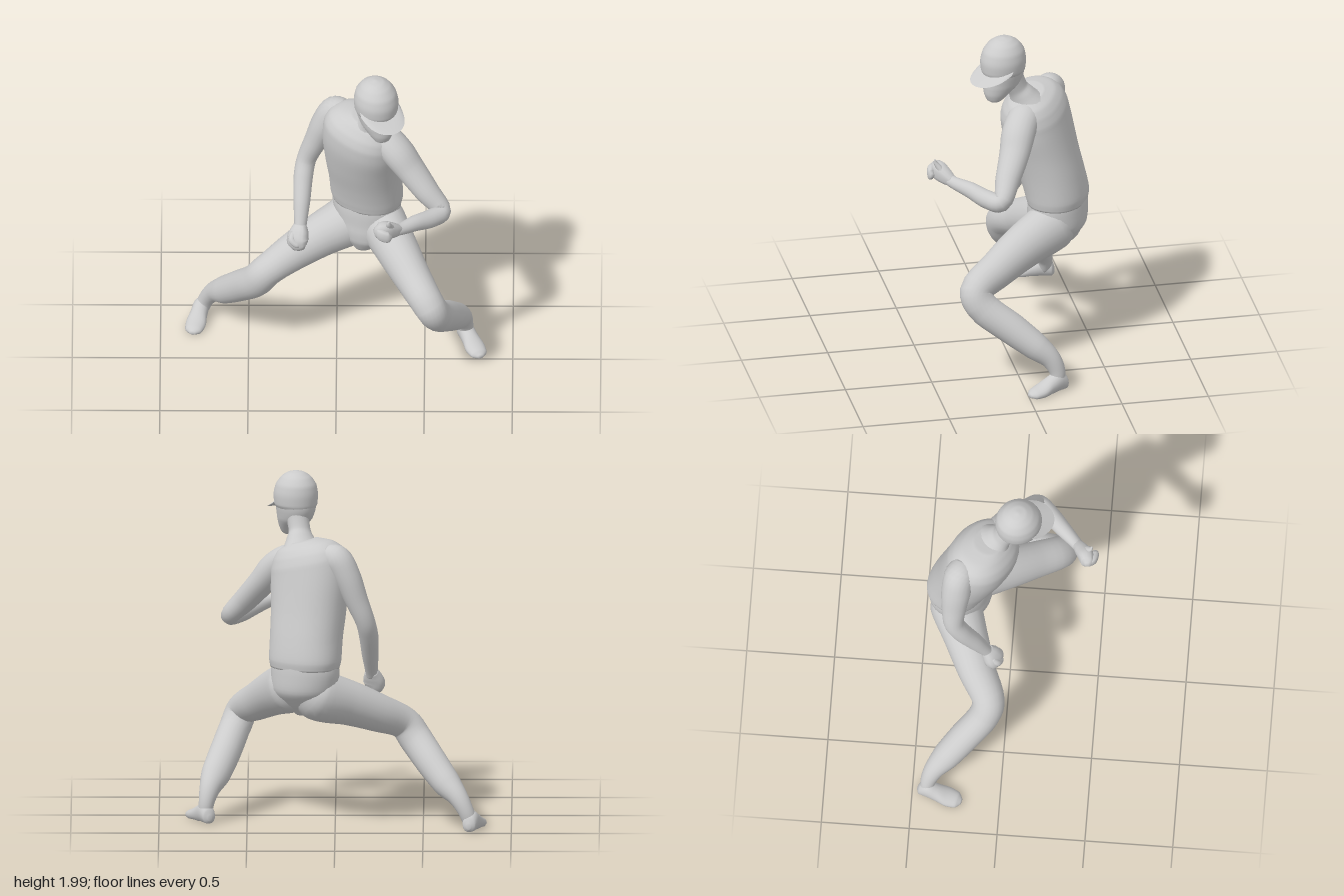
import * as THREE from 'three';

const V = (x, y, z) => new THREE.Vector3(x, y, z);
const material = new THREE.MeshStandardMaterial({ color: 0xcccccc });
const thin = new THREE.MeshStandardMaterial({ color: 0xcccccc, side: THREE.DoubleSide });

// Body directions: the torso is turned to its right, the head to its left
const bodyLeft = V(0.85, 0, 0.53);
const headLeft = V(0.87, 0, -0.5), headFront = V(0.5, 0, 0.87);

// Smooth closed skin over cross-sections [x, y, z, radiusAcross, radiusDeep].
// "across" fixes the ring direction; "axis" forces parallel rings; "adjust" edits points.
function loft(name, sections, across, { axis, adjust, power = 2, sides = 20, steps = 5 } = {}) {
  const path = new THREE.CatmullRomCurve3(sections.map(s => V(s[0], s[1], s[2])));
  const radii = new THREE.CatmullRomCurve3(sections.map(s => V(s[3], s[4], 0)));
  const rings = (sections.length - 1) * steps;
  const pos = [], index = [];
  const bend = c => Math.sign(c) * Math.abs(c) ** (2 / power);
  const add = p => { if (adjust) adjust(p); pos.push(p.x, p.y, p.z); };
  for (let i = 0; i <= rings; i++) {
    const t = i / rings, c = path.getPoint(t), r = radii.getPoint(t);
    const T = axis ? axis.clone() : path.getTangent(t);
    const U = across.clone().addScaledVector(T, -across.dot(T)).normalize();
    const W = T.clone().cross(U);
    for (let j = 0; j < sides; j++) {
      const a = j / sides * Math.PI * 2;
      add(c.clone().addScaledVector(U, bend(Math.cos(a)) * r.x).addScaledVector(W, bend(Math.sin(a)) * r.y));
    }
  }
  add(path.getPoint(0));
  add(path.getPoint(1));
  const start = (rings + 1) * sides, last = rings * sides;
  for (let j = 0; j < sides; j++) {
    const k = (j + 1) % sides;
    for (let i = 0; i < rings; i++) {
      const a = i * sides + j, b = i * sides + k;
      index.push(a, b, b + sides, a, b + sides, a + sides);
    }
    index.push(start, k, j, start + 1, last + j, last + k);
  }
  const g = new THREE.BufferGeometry();
  g.setAttribute('position', new THREE.Float32BufferAttribute(pos, 3));
  g.setIndex(index);
  g.computeVertexNormals();
  const mesh = new THREE.Mesh(g, material);
  mesh.name = name;
  return mesh;
}

// Head sections [y, forward, halfWidth, halfDepth] placed in the turned head frame
const headSections = rows => rows.map(([y, f, w, d]) =>
  [0.225 + headFront.x * f, y, 0.03 + headFront.z * f, w, d]);

// Curved visor with rounded corners, dipping toward the front
function makeBrim() {
  const nu = 20, nv = 5, pos = [], index = [];
  for (let i = 0; i <= nu; i++) for (let j = 0; j <= nv; j++) {
    const a = (i / nu * 2 - 1) * 1.45, t = j / nv, c = Math.cos(a);
    const u = Math.sin(a) * (0.118 + 0.008 * t);
    const f = c * 0.122 * (1 - t) + c ** 0.7 * 0.213 * t;
    const y = 1.845 - 0.41 * f - 0.9 * u * u * t;
    const p = V(0.225, y, 0.03).addScaledVector(headLeft, u).addScaledVector(headFront, f);
    pos.push(p.x, p.y, p.z);
    if (i < nu && j < nv) {
      const k = i * (nv + 1) + j, m = k + nv + 1;
      index.push(k, k + 1, m + 1, k, m + 1, m);
    }
  }
  const g = new THREE.BufferGeometry();
  g.setAttribute('position', new THREE.Float32BufferAttribute(pos, 3));
  g.setIndex(index);
  g.computeVertexNormals();
  const brim = new THREE.Mesh(g, thin);
  brim.name = 'capBrim';
  return brim;
}

// Foot with a flat sole, from heel (x, z) along direction (dx, dz)
function makeFoot(name, x, z, dx, dz) {
  const rows = [[0, 0.035, 0.012, 0.015], [0.015, 0.045, 0.038, 0.045], [0.06, 0.06, 0.046, 0.062],
    [0.12, 0.045, 0.05, 0.052], [0.18, 0.028, 0.058, 0.038], [0.235, 0.02, 0.048, 0.028], [0.262, 0.018, 0.016, 0.01]];
  return loft(name, rows.map(([d, y, w, h]) => [x + dx * d, y, z + dz * d, w, h]), V(dz, 0, -dx),
    { axis: V(dx, 0, dz), adjust: p => { p.y = Math.max(p.y, 0.005); } });
}

export function createModel() {
  const model = new THREE.Group();
  model.name = 'crouchingFigure';
  const up = V(0, 1, 0);

  // Shirt: shoulder line slopes down toward the left arm
  model.add(loft('torso', [
    [0.172, 0.93, -0.297, 0.203, 0.163], [0.17, 0.98, -0.294, 0.212, 0.173], [0.163, 1.1, -0.266, 0.212, 0.178],
    [0.15, 1.25, -0.223, 0.22, 0.184], [0.143, 1.4, -0.184, 0.23, 0.188], [0.147, 1.5, -0.165, 0.225, 0.182],
    [0.157, 1.56, -0.155, 0.205, 0.16], [0.172, 1.605, -0.145, 0.165, 0.125], [0.185, 1.637, -0.125, 0.09, 0.08],
  ], bodyLeft, {
    axis: up, power: 2.2, sides: 32,
    adjust: p => {
      const u = (p.x - 0.16) * bodyLeft.x + (p.z + 0.18) * bodyLeft.z;
      p.y -= 0.25 * u * THREE.MathUtils.smoothstep(p.y, 1.15, 1.55);
    },
  }));

  model.add(loft('pelvis', [
    [0.17, 0.98, -0.3, 0.195, 0.16], [0.17, 0.9, -0.298, 0.204, 0.168], [0.175, 0.8, -0.29, 0.195, 0.168],
    [0.17, 0.72, -0.26, 0.15, 0.135], [0.16, 0.645, -0.235, 0.06, 0.07],
  ], bodyLeft, { axis: V(0, -1, 0), sides: 28 }));

  // Neck, head and cap
  model.add(loft('neck', [
    [0.19, 1.56, -0.115, 0.125, 0.1], [0.198, 1.62, -0.085, 0.085, 0.072],
    [0.203, 1.67, -0.056, 0.063, 0.06], [0.213, 1.73, -0.03, 0.063, 0.064], [0.222, 1.79, -0.01, 0.068, 0.068],
  ], headLeft));
  model.add(loft('head', headSections([
    [1.62, 0.07, 0.025, 0.022], [1.632, 0.066, 0.046, 0.042], [1.67, 0.048, 0.07, 0.076], [1.72, 0.014, 0.094, 0.114],
    [1.78, 0, 0.108, 0.127], [1.85, 0, 0.117, 0.128], [1.92, -0.005, 0.1, 0.11], [1.97, -0.005, 0.05, 0.055],
  ]), headLeft, { axis: up, sides: 28 }));
  model.add(loft('cap', headSections([
    [1.79, 0, 0.109, 0.126], [1.81, 0, 0.12, 0.132], [1.86, 0, 0.124, 0.135], [1.92, -0.003, 0.113, 0.123],
    [1.965, -0.005, 0.083, 0.089], [1.99, -0.005, 0.046, 0.049], [1.999, -0.005, 0.008, 0.008],
  ]), headLeft, { axis: up, sides: 28 }));
  model.add(makeBrim());

  // Left arm, bent across the front
  model.add(loft('leftArm', [
    [0.2, 1.535, -0.125, 0.06, 0.075], [0.275, 1.505, -0.08, 0.085, 0.095], [0.345, 1.445, -0.035, 0.088, 0.097],
    [0.418, 1.355, 0.003, 0.077, 0.088], [0.51, 1.243, 0.06, 0.068, 0.073], [0.598, 1.14, 0.118, 0.054, 0.053],
    [0.54, 1.14, 0.185, 0.053, 0.053], [0.45, 1.165, 0.265, 0.046, 0.046],
    [0.37, 1.18, 0.34, 0.034, 0.036], [0.34, 1.19, 0.365, 0.03, 0.034],
  ], V(0.3, 0.9, 0.3)));
  model.add(loft('leftHand', [
    [0.36, 1.182, 0.35, 0.028, 0.028], [0.32, 1.2, 0.38, 0.044, 0.04], [0.275, 1.22, 0.41, 0.054, 0.045],
    [0.235, 1.23, 0.42, 0.044, 0.036], [0.215, 1.235, 0.42, 0.012, 0.012],
  ], up, { power: 2.6, sides: 14 }));
  model.add(loft('leftFingers', [
    [0.24, 1.225, 0.42, 0.028, 0.025], [0.255, 1.22, 0.45, 0.036, 0.024],
    [0.295, 1.21, 0.462, 0.034, 0.02], [0.315, 1.21, 0.455, 0.01, 0.01],
  ], up, { power: 2.6, sides: 12 }));
  model.add(loft('leftThumb', [
    [0.33, 1.21, 0.39, 0.02, 0.02], [0.305, 1.25, 0.415, 0.021, 0.018],
    [0.298, 1.28, 0.435, 0.015, 0.012], [0.302, 1.305, 0.442, 0.004, 0.004],
  ], V(1, 0, 0), { sides: 10 }));

  // Right arm, hanging with the elbow pushed back
  model.add(loft('rightArm', [
    [0.06, 1.57, -0.265, 0.06, 0.06], [-0.01, 1.545, -0.29, 0.085, 0.085], [-0.067, 1.45, -0.302, 0.079, 0.085],
    [-0.12, 1.32, -0.31, 0.066, 0.072], [-0.172, 1.19, -0.308, 0.056, 0.058], [-0.19, 1.1, -0.265, 0.055, 0.056],
    [-0.198, 0.98, -0.19, 0.048, 0.05], [-0.205, 0.87, -0.125, 0.036, 0.036], [-0.207, 0.84, -0.108, 0.034, 0.034],
  ], V(1, 0, 0)));
  model.add(loft('rightHand', [
    [-0.205, 0.865, -0.12, 0.036, 0.032], [-0.213, 0.83, -0.095, 0.055, 0.042], [-0.22, 0.79, -0.075, 0.064, 0.045],
    [-0.207, 0.755, -0.065, 0.05, 0.036], [-0.19, 0.735, -0.065, 0.015, 0.012],
  ], V(0.85, 0.1, 0.4), { power: 2.6, sides: 14 }));
  model.add(loft('rightThumb', [
    [-0.245, 0.835, -0.085, 0.018, 0.018], [-0.255, 0.805, -0.052, 0.02, 0.018],
    [-0.225, 0.78, -0.035, 0.017, 0.015], [-0.205, 0.775, -0.035, 0.006, 0.006],
  ], V(0.7, 0.7, 0), { sides: 10 }));

  // Legs: they start inside the seat; trouser cuffs narrow to the ankles
  model.add(loft('leftLeg', [
    [0.225, 0.85, -0.33, 0.1, 0.1], [0.255, 0.805, -0.245, 0.135, 0.15], [0.345, 0.73, -0.06, 0.122, 0.13],
    [0.435, 0.65, 0.1, 0.105, 0.11], [0.53, 0.563, 0.25, 0.092, 0.092], [0.565, 0.485, 0.222, 0.09, 0.092],
    [0.625, 0.36, 0.065, 0.09, 0.09], [0.68, 0.255, -0.07, 0.083, 0.078], [0.712, 0.19, -0.145, 0.06, 0.058],
    [0.73, 0.12, -0.18, 0.045, 0.047], [0.738, 0.05, -0.185, 0.038, 0.042],
  ], V(0.87, 0, -0.4), { sides: 22 }));
  model.add(loft('rightLeg', [
    [0.19, 0.83, -0.36, 0.08, 0.09], [0.095, 0.77, -0.32, 0.145, 0.148], [-0.08, 0.707, -0.245, 0.125, 0.128],
    [-0.24, 0.637, -0.175, 0.108, 0.11], [-0.395, 0.557, -0.095, 0.093, 0.093], [-0.455, 0.475, -0.115, 0.09, 0.095],
    [-0.55, 0.355, -0.22, 0.088, 0.09], [-0.635, 0.255, -0.315, 0.08, 0.08], [-0.698, 0.19, -0.38, 0.058, 0.057],
    [-0.74, 0.12, -0.41, 0.045, 0.046], [-0.768, 0.05, -0.415, 0.038, 0.042],
  ], V(0.4, 0, -0.87), { sides: 22 }));
  model.add(makeFoot('leftFoot', 0.71, -0.24, 0.42, 0.907));
  model.add(makeFoot('rightFoot', -0.757, -0.47, -0.24, 0.971));

  return model;
}
